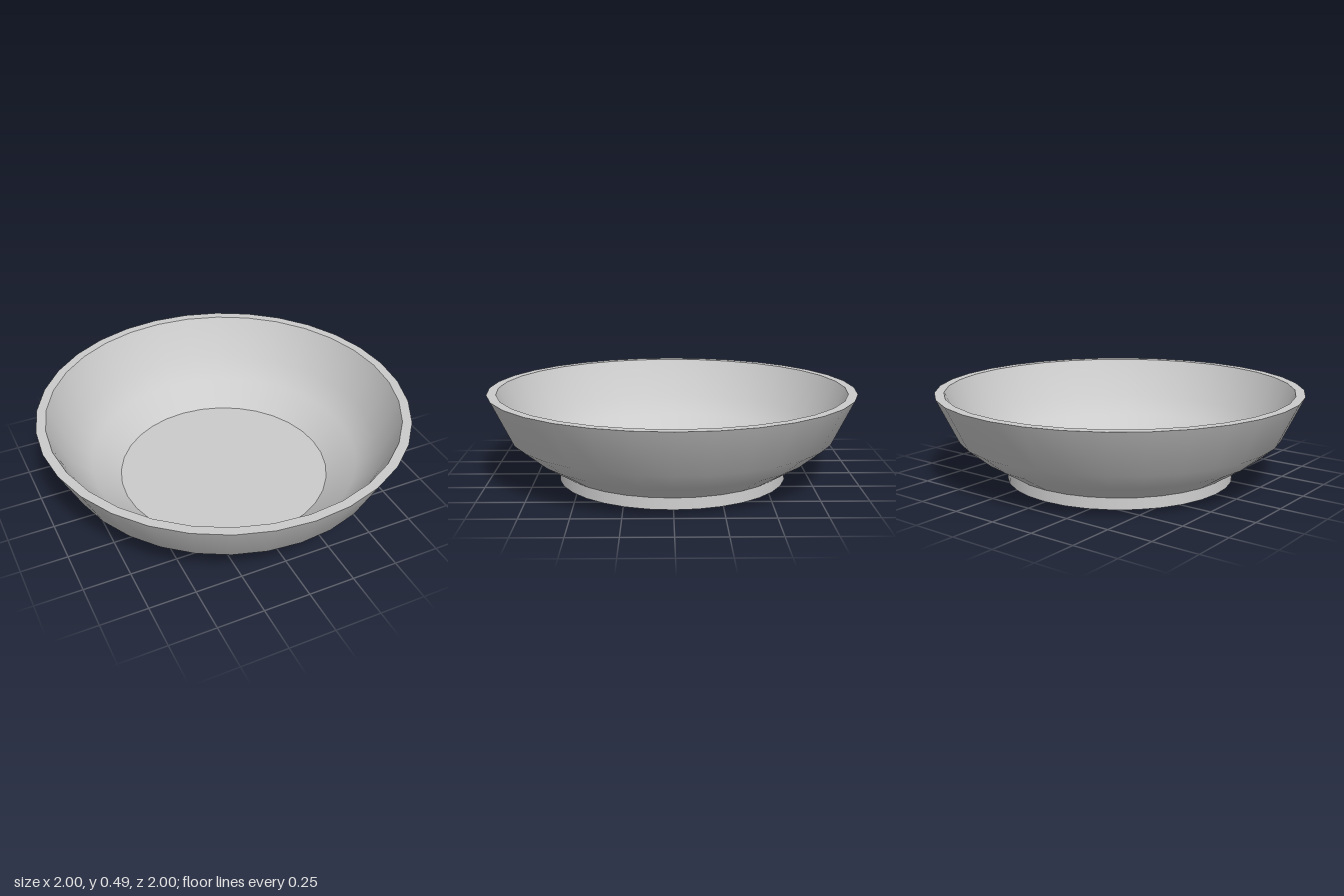
import * as THREE from 'three';

const SIDES = 32;

export function createModel() {
  const bowl = new THREE.Group();
  bowl.name = 'bowl';
  const material = new THREE.MeshStandardMaterial({ color: 0xcccccc });

  // Each profile strip is smooth in itself; strips meet in sharp edges.
  const strip = (name, points) => {
    const profile = points.map(([r, y]) => new THREE.Vector2(r, y));
    const mesh = new THREE.Mesh(new THREE.LatheGeometry(profile, SIDES), material);
    mesh.name = name;
    bowl.add(mesh);
  };

  // Foot ring around a recessed underside
  strip('underside', [[0, 0.05], [0.58, 0.05]]);
  strip('footInnerWall', [[0.58, 0.05], [0.58, 0]]);
  strip('footBase', [[0.58, 0], [0.625, 0]]);
  strip('footOuterWall', [[0.625, 0], [0.62, 0.06]]);

  // Bowl wall, rim and floor
  strip('outerWall', [[0.62, 0.06], [0.77, 0.155], [0.885, 0.25], [1, 0.49]]);
  strip('rim', [[1, 0.49], [0.95, 0.49]]);
  strip('innerWall', [[0.95, 0.49], [0.845, 0.27], [0.735, 0.17], [0.58, 0.06]]);
  strip('floor', [[0.58, 0.06], [0, 0.06]]);

  return bowl;
}
